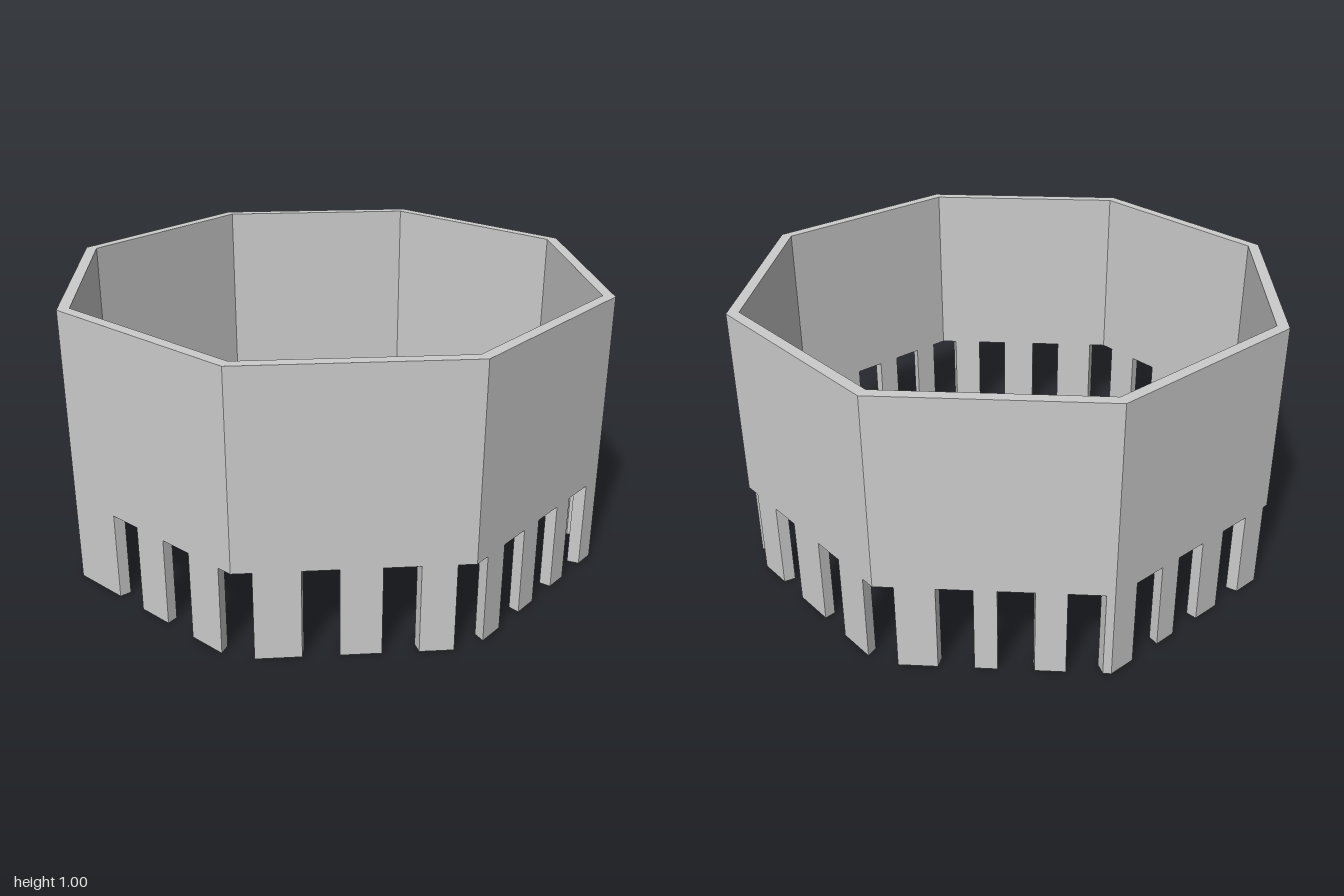
import * as THREE from 'three';

const SIDES = 8;
const HEIGHT = 1;
const NOTCH_HEIGHT = 0.317;
const NOTCH_HALF = 0.06;
const INNER = 0.957; // inner radius as a share of the outer radius
const HALF = Math.sin(Math.PI / SIDES); // half the width of a panel
const APOTHEM = Math.cos(Math.PI / SIDES);

// Notch centres in degrees around the ring, from the front towards the left
const NOTCHES = [
  -29.6, -14.3, 0.3, 16, 31.7, 45, 57.3, 70.2, 82.4, 94.7, 108.3, 121.5, 135,
  149, 165.7, 180.4, 194.9, 207, 220.2, 233.9, 246.1, 259.9, 272.1, 284.2,
];

// Outline of one wall panel, with the notches that fall on it cut from below
function panelShape(middle) {
  const spans = [];
  for (const angle of NOTCHES) {
    const offset = ((angle - middle + 540) % 360 + 360) % 360 - 180;
    if (Math.abs(offset) > 35) continue;
    const u = APOTHEM * Math.tan(THREE.MathUtils.degToRad(offset));
    const a = Math.max(u - NOTCH_HALF, -HALF);
    const b = Math.min(u + NOTCH_HALF, HALF);
    if (b - a > 0.002) spans.push([a, b]);
  }
  spans.sort((p, q) => p[0] - q[0]);

  const points = [[HALF, HEIGHT], [-HALF, HEIGHT]];
  if (!spans.length || spans[0][0] > -HALF) points.push([-HALF, 0]);
  for (const [a, b] of spans) {
    if (a > -HALF) points.push([a, 0]);
    points.push([a, NOTCH_HEIGHT], [b, NOTCH_HEIGHT]);
    if (b < HALF) points.push([b, 0]);
  }
  if (!spans.length || spans[spans.length - 1][1] < HALF) points.push([HALF, 0]);
  return new THREE.Shape(points.map(([x, y]) => new THREE.Vector2(x, y)));
}

// Panel with thickness; the inner face narrows so neighbours meet in a mitre
function panelGeometry(middle) {
  const depth = APOTHEM * (1 - INNER);
  const geometry = new THREE.ExtrudeGeometry(panelShape(middle), { depth, bevelEnabled: false });
  const position = geometry.attributes.position;
  for (let i = 0; i < position.count; i++) {
    if (position.getZ(i) < depth / 2) position.setX(i, position.getX(i) * INNER);
  }
  geometry.translate(0, 0, APOTHEM * INNER);
  geometry.rotateY(THREE.MathUtils.degToRad(middle));
  geometry.computeVertexNormals();
  return geometry;
}

export function createModel() {
  const model = new THREE.Group();
  model.name = 'notchedOctagonalRing';
  const material = new THREE.MeshStandardMaterial({ color: 0xcccccc, flatShading: true });

  // Eight wall panels with corners at the front, back, left and right
  for (let i = 0; i < SIDES; i++) {
    const panel = new THREE.Mesh(panelGeometry((i + 0.5) * 360 / SIDES), material);
    panel.name = `wallPanel${i + 1}`;
    model.add(panel);
  }
  return model;
}
